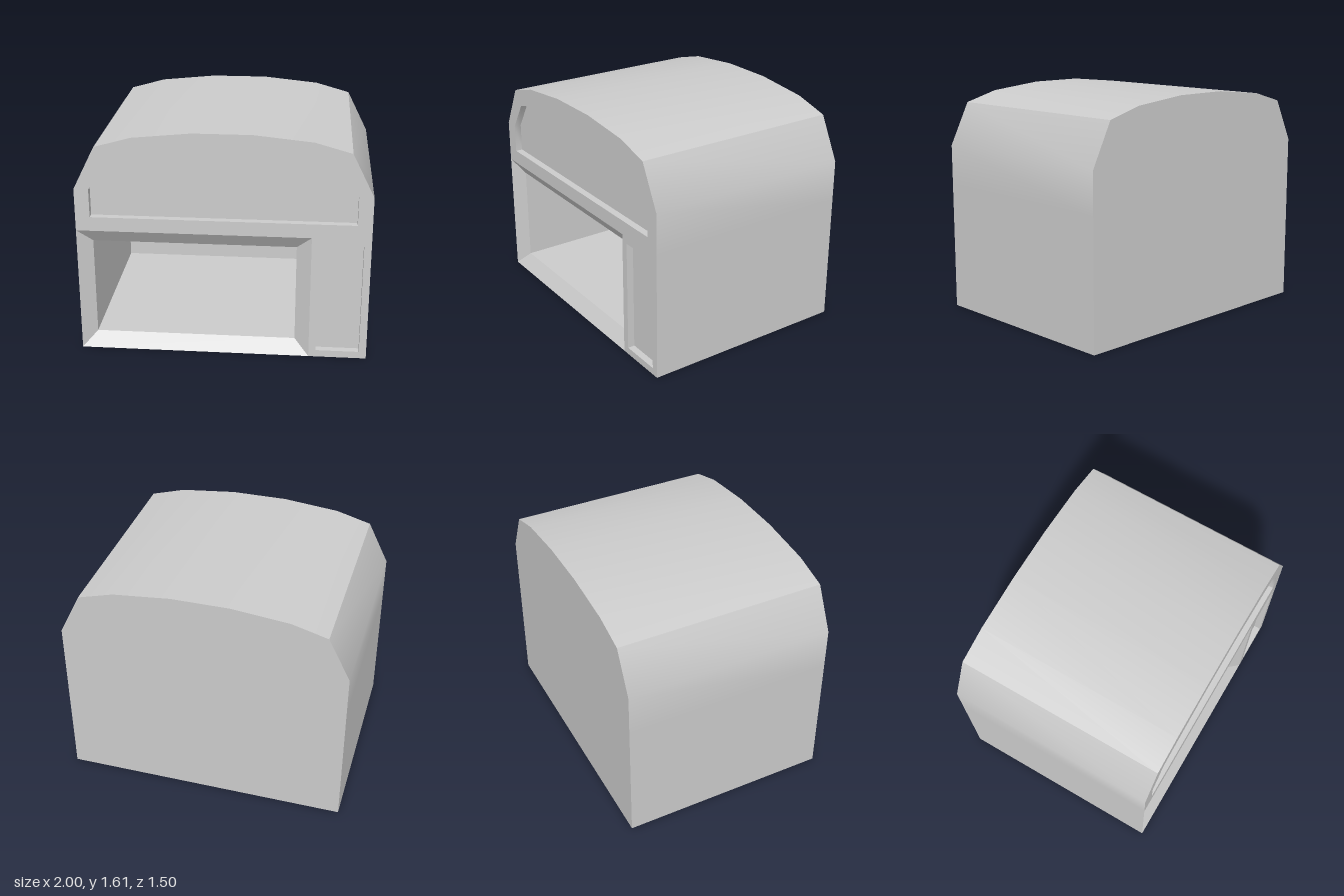
import * as THREE from 'three';
import { toCreasedNormals } from 'three/addons/utils/BufferGeometryUtils.js';

const FRONT = 0.75, BACK = -0.75;
const material = new THREE.MeshStandardMaterial({ color: 0xcccccc });

const toShape = (points) => new THREE.Shape(points.map(([x, y]) => new THREE.Vector2(x, y)));
const rect = (x0, y0, x1, y1) => [[x0, y0], [x1, y0], [x1, y1], [x0, y1]];
// Completes the right half of an outline (listed bottom to top) with its mirror image
const mirrored = (half) => [...half, ...half.map(([x, y]) => [-x, y]).reverse()];

// Joins matching counter-clockwise outlines, each { points, z }.
// Back to front faces outward, front to back faces inward.
function loft(sections) {
  const position = [];
  for (let s = 0; s + 1 < sections.length; s++) {
    const p = sections[s], q = sections[s + 1], n = p.points.length;
    for (let i = 0; i < n; i++) {
      const j = (i + 1) % n;
      const a = [...p.points[i], p.z], b = [...p.points[j], p.z];
      const c = [...q.points[j], q.z], d = [...q.points[i], q.z];
      position.push(...a, ...b, ...c, ...a, ...c, ...d);
    }
  }
  const geometry = new THREE.BufferGeometry();
  geometry.setAttribute('position', new THREE.Float32BufferAttribute(position, 3));
  return toCreasedNormals(geometry, 0.6);
}

export function createModel() {
  const group = new THREE.Group();
  const add = (name, geometry, parent = group) => {
    const mesh = new THREE.Mesh(geometry, material);
    mesh.name = name;
    parent.add(mesh);
  };

  // A recess: side walls running back through the sections, closed by a panel
  const addRecess = (name, sections) => {
    const recess = new THREE.Group();
    recess.name = name;
    const end = sections[sections.length - 1];
    add(name + 'Walls', loft(sections), recess);
    add(name + 'Panel', new THREE.ShapeGeometry(toShape(end.points)).translate(0, 0, end.z), recess);
    group.add(recess);
  };

  const roof = mirrored([[1, 1.2], [0.85, 1.5], [0.6, 1.57], [0.2, 1.61]]);
  const outline = [[1, 0], [1, 0.9], ...roof, [-1, 0.9], [-1, 0]];
  const sign = mirrored([[0.9, 1], [0.9, 1.2], [0.77, 1.4], [0.6, 1.44], [0.2, 1.5]]);
  const door = rect(0.65, 0.05, 0.95, 0.85);
  const openingOuter = rect(-1, 0, 0.6, 0.9);
  const openingInner = rect(-0.9, 0.1, 0.5, 0.8);

  // Floor, side walls and roof in one skin
  add('wallsAndRoof', loft([{ points: outline, z: BACK }, { points: outline, z: FRONT }]));
  add('backWall', new THREE.ShapeGeometry(toShape(outline)).rotateY(Math.PI).translate(0, 0, BACK));

  // Front wall around the wide opening, with holes for the sign and door
  const facade = toShape([[0.6, 0], [1, 0], [1, 0.9], ...roof, [-1, 0.9], [0.6, 0.9]]);
  facade.holes.push(toShape(sign), toShape(door));
  add('frontWall', new THREE.ShapeGeometry(facade).translate(0, 0, FRONT));

  // Shallow recesses
  addRecess('signRecess', [{ points: sign, z: FRONT }, { points: sign, z: FRONT - 0.05 }]);
  addRecess('doorRecess', [{ points: door, z: FRONT }, { points: door, z: FRONT - 0.05 }]);

  // Bevelled opening into the deep interior
  addRecess('interior', [
    { points: openingOuter, z: FRONT },
    { points: openingInner, z: FRONT - 0.07 },
    { points: openingInner, z: BACK + 0.1 },
  ]);

  return group;
}
